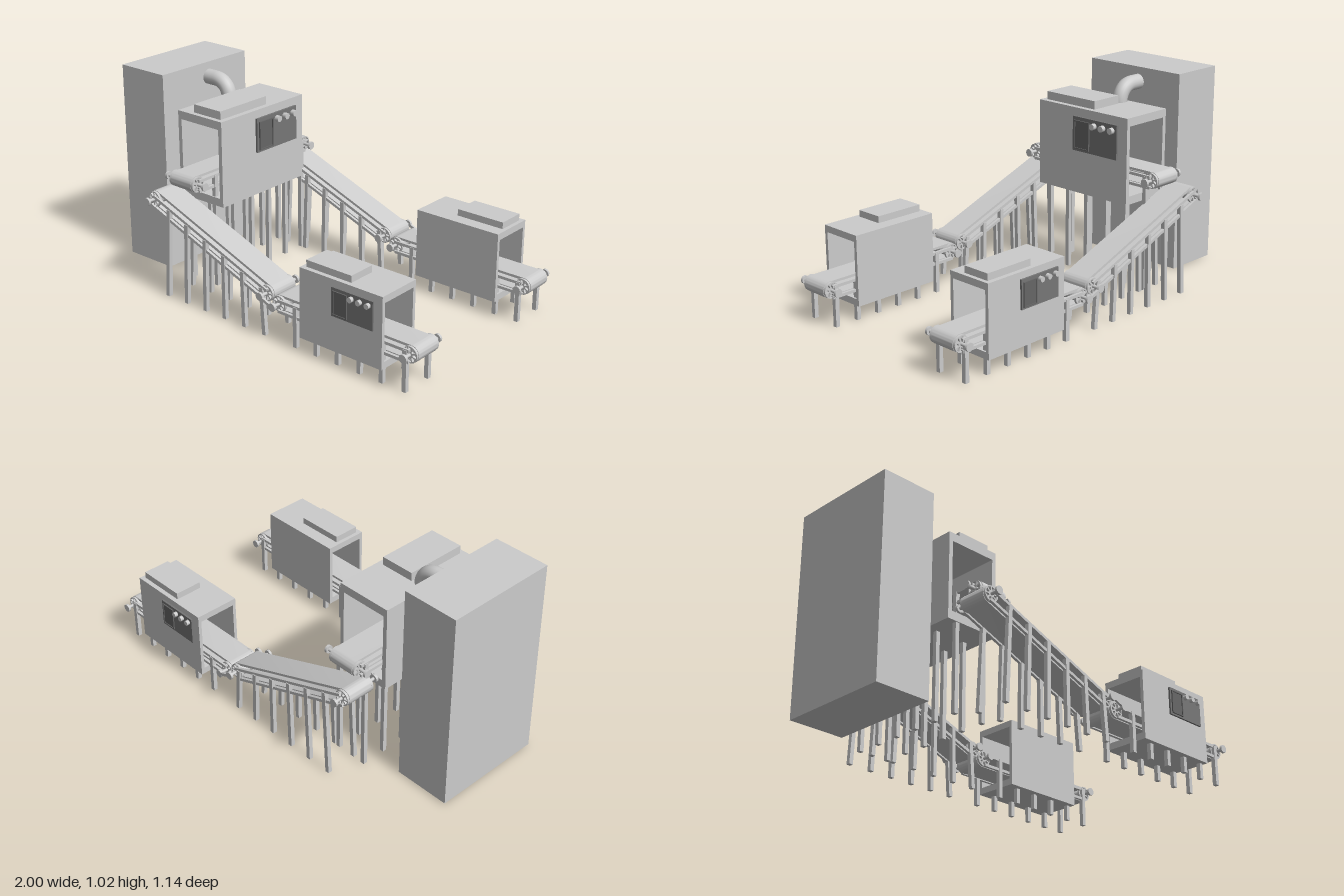
import * as THREE from 'three';
import { toCreasedNormals } from 'three/addons/utils/BufferGeometryUtils.js';

const grey = new THREE.MeshStandardMaterial({ color: 0xcccccc });
const dark = new THREE.MeshStandardMaterial({ color: 0x777777 });
const darker = new THREE.MeshStandardMaterial({ color: 0x666666 });

function add(parent, name, geometry, x = 0, y = 0, z = 0, material = grey) {
  const mesh = new THREE.Mesh(geometry, material);
  mesh.name = name;
  mesh.position.set(x, y, z);
  parent.add(mesh);
  return mesh;
}

// Box given by its minimum and maximum on each axis
function box(parent, name, [x0, x1], [y0, y1], [z0, z1], material) {
  return add(parent, name, new THREE.BoxGeometry(x1 - x0, y1 - y0, z1 - z0),
    (x0 + x1) / 2, (y0 + y1) / 2, (z0 + z1) / 2, material);
}

// Cylinder lying along z
function rod(parent, name, radius, length, x, y, z, material, sides = 20) {
  const geometry = new THREE.CylinderGeometry(radius, radius, length, sides).rotateX(Math.PI / 2);
  return add(parent, name, geometry, x, y, z, material);
}

// Extrusion along z, centred on z = 0
function slab(shape, depth, curveSegments = 10) {
  const geometry = new THREE.ExtrudeGeometry(shape, { depth, bevelEnabled: false, curveSegments });
  return toCreasedNormals(geometry.translate(0, 0, -depth / 2), 0.6);
}

function frameShape(w, h, t) {
  const rect = (x, y) => [[-x, -y], [x, -y], [x, y], [-x, y]].map(p => new THREE.Vector2(...p));
  const shape = new THREE.Shape(rect(w / 2, h / 2));
  shape.holes.push(new THREE.Path(rect(w / 2 - t, h / 2 - t)));
  return shape;
}

// Outline of a belt running round two rollers
function stadium(path, half, r) {
  path.moveTo(-half, -r);
  path.lineTo(half, -r);
  path.absarc(half, 0, r, -Math.PI / 2, Math.PI / 2, false);
  path.lineTo(-half, r);
  path.absarc(-half, 0, r, Math.PI / 2, Math.PI * 1.5, false);
  return path;
}

// Wheel with eight openings between its spokes
function wheelShape() {
  const shape = new THREE.Shape().absarc(0, 0, 0.039, 0, Math.PI * 2, false);
  for (let i = 0; i < 8; i++) {
    const a = i * Math.PI / 4;
    const corner = (r, d) => new THREE.Vector2(r * Math.cos(a + d), r * Math.sin(a + d));
    shape.holes.push(new THREE.Path([corner(0.016, -0.2), corner(0.034, -0.3), corner(0.034, 0.3), corner(0.016, 0.2)]));
  }
  return shape;
}

// Conveyor along x, centred between its axles
function conveyor(name, length) {
  const group = new THREE.Group();
  group.name = name;
  const half = length / 2;
  const loop = stadium(new THREE.Shape(), half, 0.04);
  loop.holes.push(stadium(new THREE.Path(), half, 0.028));
  add(group, 'belt', slab(loop, 0.13));
  for (const end of [-half, half]) {
    rod(group, 'roller', 0.027, 0.128, end, 0, 0);
    rod(group, 'axle', 0.008, 0.25, end, 0, 0, grey, 12);
    for (const side of [-1, 1]) {
      add(group, 'spokedWheel', slab(wheelShape(), 0.012), end, 0, side * 0.072);
      rod(group, 'axleCap', 0.02, 0.012, end, 0, side * 0.122, grey, 12);
    }
  }
  for (const z of [-0.08, 0.08]) {
    for (const y of [0.018, -0.034]) {
      add(group, 'sideRail', new THREE.BoxGeometry(length, 0.014, 0.014), 0, y, z);
    }
  }
  return group;
}

// Straight square leg between two points
function leg(parent, bottom, top) {
  const a = new THREE.Vector3(...bottom), b = new THREE.Vector3(...top);
  const mesh = add(parent, 'leg', new THREE.BoxGeometry(0.021, a.distanceTo(b), 0.021));
  mesh.position.copy(a).lerp(b, 0.5);
  mesh.quaternion.setFromUnitVectors(new THREE.Vector3(0, 1, 0), b.sub(a).normalize());
}

// Tunnel housing along x, standing on y = 0, control panel on +z
function machine(name) {
  const group = new THREE.Group();
  group.name = name;
  box(group, 'roof', [-0.23, 0.23], [0.312, 0.345], [-0.115, 0.115]);
  box(group, 'floor', [-0.23, 0.23], [0, 0.033], [-0.115, 0.115]);
  for (const s of [-1, 1]) add(group, 'wall', new THREE.BoxGeometry(0.46, 0.279, 0.017), 0, 0.1725, s * 0.1065);
  box(group, 'topCover', [-0.21, 0.043], [0.345, 0.378], [-0.048, 0.092]);
  box(group, 'controlPanel', [-0.042, 0.185], [0.174, 0.312], [0.115, 0.124], dark);
  box(group, 'screen', [-0.03, 0.044], [0.185, 0.296], [0.124, 0.126], darker);
  add(group, 'screenFrame', slab(frameShape(0.078, 0.115, 0.005), 0.006), 0.007, 0.2405, 0.127, darker);
  for (const x of [0.07, 0.115, 0.162]) rod(group, 'button', 0.0125, 0.018, x, 0.288, 0.132);
  return group;
}

export function createModel() {
  const model = new THREE.Group();
  model.name = 'productionLine';

  box(model, 'tallCabinet', [-1, -0.715], [0.005, 1.015], [-0.287, 0.287]);

  // Feed pipe from the cabinet down into the central machine
  const pipe = new THREE.CurvePath();
  const v = (x, y) => new THREE.Vector3(x, y, -0.025);
  pipe.add(new THREE.LineCurve3(v(-0.73, 0.94), v(-0.66, 0.94)));
  pipe.add(new THREE.CubicBezierCurve3(v(-0.66, 0.94), v(-0.61, 0.94), v(-0.575, 0.905), v(-0.575, 0.85)));
  add(model, 'feedPipe', new THREE.TubeGeometry(pipe, 24, 0.038, 20, false)).material =
    new THREE.MeshStandardMaterial({ color: 0xcccccc, side: THREE.DoubleSide });

  // Central machine and its cross conveyor
  const central = machine('centralMachine');
  central.scale.setScalar(1.25);
  central.rotation.y = Math.PI / 2;
  central.position.set(-0.4725, 0.43, 0);
  const cross = conveyor('crossConveyor', 0.766);
  cross.rotation.y = Math.PI / 2;
  cross.position.set(-0.475, 0.56, 0);
  model.add(central, cross);
  for (let i = 0; i < 6; i++) {
    const z = 0.272 - i * 0.125;
    for (const x of [-0.555, -0.395]) leg(model, [x, 0, z], [x, 0.58, z]);
  }

  // The two outgoing lines
  for (const side of [-1, 1]) {
    const z = side * 0.432;
    const slope = conveyor('slopedConveyor', Math.hypot(0.72, 0.27));
    slope.rotation.z = Math.atan2(-0.27, 0.72);
    slope.position.set(-0.21, 0.345, z);
    const flat = conveyor('flatConveyor', 0.735);
    flat.position.set(0.5925, 0.18, z);
    const unit = machine('sideMachine');
    unit.position.set(0.61, 0.077, side * 0.43);
    if (side < 0) unit.rotation.y = Math.PI;
    model.add(slope, flat, unit);

    for (let i = 0; i < 6; i++) {
      const foot = -0.488 + i * 0.126, top = -0.465 + i * 0.118, x = 0.33 + i * 0.1225;
      for (const dz of [-0.08, 0.08]) {
        leg(model, [foot, 0, z + dz], [top, 0.28 - top * 0.375, z + dz]);
        leg(model, [x, 0, z + dz], [x, 0.2, z + dz]);
      }
    }
    // Link joining the neighbouring axles
    const link = add(model, 'axleLink', new THREE.BoxGeometry(0.085, 0.014, 0.012), 0.1875, 0.195, z + side * 0.122);
    link.rotation.z = Math.atan2(-0.03, 0.075);
  }
  return model;
}
